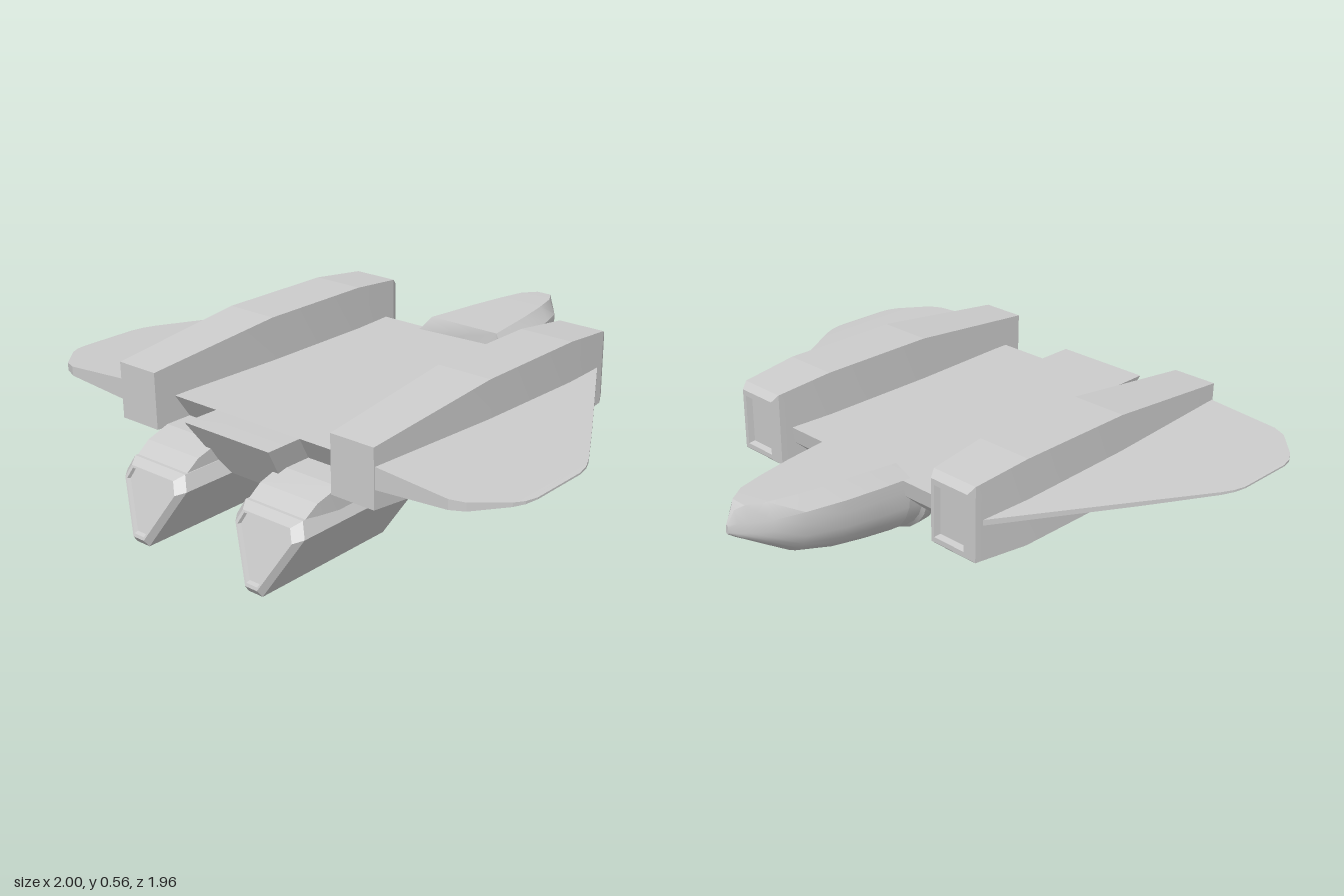
import * as THREE from 'three';
import { toCreasedNormals } from 'three/addons/utils/BufferGeometryUtils.js';

const grey = new THREE.MeshStandardMaterial({ color: 0xcccccc });

// Skin over rings of [x, y, z] points, with both ends closed
function loft(rings, crease = 0.1) {
  const pos = [], n = rings[0].length;
  const tri = (a, b, c) => pos.push(...a, ...b, ...c);
  for (let i = 0; i < rings.length - 1; i++) {
    for (let j = 0; j < n; j++) {
      const k = (j + 1) % n, r = rings[i], s = rings[i + 1];
      tri(r[j], r[k], s[k]);
      tri(r[j], s[k], s[j]);
    }
  }
  const first = rings[0], last = rings[rings.length - 1];
  for (let j = 1; j < n - 1; j++) {
    tri(first[0], first[j + 1], first[j]);
    tri(last[0], last[j], last[j + 1]);
  }
  const geo = new THREE.BufferGeometry();
  geo.setAttribute('position', new THREE.Float32BufferAttribute(pos, 3));
  return toCreasedNormals(geo, crease);
}

const flip = rings => rings.map(r => r.map(([x, y, z]) => [-x, y, z]).reverse());
const rect = (x0, x1, y0, y1, z) => [[x0, y0, z], [x1, y0, z], [x1, y1, z], [x0, y1, z]];

export function createModel() {
  const model = new THREE.Group();
  const add = (name, geo) => {
    const mesh = new THREE.Mesh(geo, grey);
    mesh.name = name;
    model.add(mesh);
    return mesh;
  };
  const pair = (name, rings) => {
    add(name + 'Left', loft(rings));
    add(name + 'Right', loft(flip(rings)));
  };

  // Flat main deck, side profile extruded across the width
  const profile = [[0.41, 0.4], [0.40, 0.34], [0.30, 0.25], [-0.60, 0.25], [-0.62, 0.31], [-0.68, 0.4]];
  const deck = new THREE.ExtrudeGeometry(
    new THREE.Shape(profile.map(p => new THREE.Vector2(...p))), { depth: 0.77, bevelEnabled: false });
  deck.translate(0, 0, -0.385).rotateY(Math.PI / 2);
  add('deck', deck);

  // Central keel with overhanging tail
  const keel = [[-0.12, 0.2], [0.12, 0.2], [0.143, 0.215], [0.187, 0.4], [-0.187, 0.4], [-0.143, 0.215]];
  add('keel', loft([
    keel.map(([x, y]) => [x, Math.min(y, 0.39), -0.3]),
    keel.map(([x, y]) => [x, Math.min(y, 0.401), 0.55]),
    keel.map(([x, y]) => [x, Math.min(y, 0.401), 0.69 + (y - 0.2) * 0.64]),
  ]));

  // Nose: flat canopy, straight shoulder, rounded belly
  const hull = (z, inner, outer, top, shoulder, ridge, bottom, slant = 0) => {
    const ring = [[inner, top, z - slant], [-inner, top, z - slant], [-outer, shoulder, z]];
    for (let i = 0; i <= 12; i++) {
      const a = Math.PI * i / 12;
      ring.push([-outer * Math.cos(a), ridge - (ridge - bottom) * Math.pow(Math.sin(a), 0.85), z]);
    }
    ring.push([outer, shoulder, z]);
    return ring;
  };
  add('nose', loft([
    hull(-0.98, 0.003, 0.006, 0.385, 0.375, 0.36, 0.352),
    hull(-0.955, 0.008, 0.026, 0.43, 0.39, 0.355, 0.335),
    hull(-0.93, 0.03, 0.048, 0.447, 0.39, 0.355, 0.32),
    hull(-0.87, 0.067, 0.093, 0.45, 0.395, 0.355, 0.283),
    hull(-0.77, 0.092, 0.13, 0.45, 0.4, 0.355, 0.22),
    hull(-0.63, 0.118, 0.16, 0.45, 0.4, 0.355, 0.18),
    hull(-0.5, 0.136, 0.178, 0.45, 0.4, 0.355, 0.16),
    hull(-0.38, 0.15, 0.19, 0.45, 0.4, 0.355, 0.146, 0.025),
  ], 0.5));

  // Belly bulge behind the nose
  add('bellyBulge', loft([
    hull(-0.385, 0.12, 0.182, 0.38, 0.36, 0.34, 0.148),
    hull(-0.31, 0.12, 0.18, 0.38, 0.36, 0.34, 0.136),
    hull(-0.295, 0.12, 0.188, 0.38, 0.36, 0.34, 0.122),
    hull(-0.24, 0.12, 0.182, 0.38, 0.36, 0.34, 0.125),
    hull(-0.17, 0.11, 0.165, 0.38, 0.36, 0.33, 0.16),
    hull(-0.12, 0.1, 0.14, 0.38, 0.36, 0.32, 0.203),
  ], 0.5));

  // Side nacelles with a recessed intake at the nose end
  pair('nacelle', [
    rect(0.415, 0.535, 0.315, 0.49, -0.462),
    rect(0.41, 0.54, 0.31, 0.495, -0.485),
    rect(0.397, 0.555, 0.292, 0.515, -0.485),
    rect(0.385, 0.567, 0.27, 0.537, -0.46),
    rect(0.372, 0.58, 0.25, 0.56, -0.24),
    rect(0.372, 0.58, 0.25, 0.56, 0.22),
    rect(0.39, 0.56, 0.3, 0.502, 0.76),
  ]);

  // Wings: [x, leading z, trailing z, leading and trailing half thickness]
  pair('wing', [
    [0.55, -0.46, 0.755, 0.01, 0.038],
    [0.83, 0.01, 0.755, 0.008, 0.017],
    [0.88, 0.095, 0.735, 0.007, 0.014],
    [0.97, 0.25, 0.64, 0.005, 0.007],
    [0.99, 0.295, 0.605, 0.004, 0.005],
    [1.0, 0.34, 0.56, 0.003, 0.003],
  ].map(([x, zf, zr, hf, hr]) => [
    [x, 0.402 + hf, zf], [x, 0.402 + hr, zr], [x, 0.402 - hr, zr], [x, 0.402 - hf, zf],
  ]));

  // Wedge-shaped engine pods with slanted ends and a sunken rear panel
  const cx = 0.257;
  const wedge = [[-0.03, 0], [0.03, 0], [0.143, 0.2], [0.12, 0.25], [-0.12, 0.25], [-0.143, 0.2]];
  const slice = (z, slope, s) => wedge.map(([x, y]) => {
    const py = 0.15 + (y - 0.15) * s;
    return [cx + x * s, py, z - slope * py];
  });
  pair('enginePod', [
    slice(0.4, 0.36, 1),
    slice(0.962, 0.36, 1),
    slice(0.99, 0.36, 0.83),
    slice(0.99, 0.36, 0.76),
    slice(0.978, 0.36, 0.73),
  ]);

  // Sloping fairings joining pods and deck
  pair('podFairing', [
    rect(0.14, 0.385, 0.22, 0.31, 0.45),
    rect(0.14, 0.385, 0.22, 0.31, 0.72),
    rect(0.14, 0.38, 0.22, 0.285, 0.81),
    rect(0.14, 0.375, 0.21, 0.24, 0.875),
  ]);

  // Framed bays under nacelles and deck
  const frame = (name, x, y, z, w, d, h) => {
    const shape = new THREE.Shape([[-w, -d], [w, -d], [w, d], [-w, d]].map(p => new THREE.Vector2(...p)));
    const t = 0.02;
    shape.holes.push(new THREE.Path([[-w + t, -d + t], [-w + t, d - t], [w - t, d - t], [w - t, -d + t]]
      .map(p => new THREE.Vector2(...p))));
    const geo = new THREE.ExtrudeGeometry(shape, { depth: h, bevelEnabled: false });
    geo.rotateX(Math.PI / 2).translate(x, y, z);
    add(name, geo);
  };
  for (const s of [1, -1]) {
    frame('nacelleBay', s * 0.475, 0.252, -0.02, 0.062, 0.08, 0.018);
    frame('deckBay', s * 0.27, 0.252, -0.2, 0.06, 0.07, 0.016);
  }
  return model;
}
